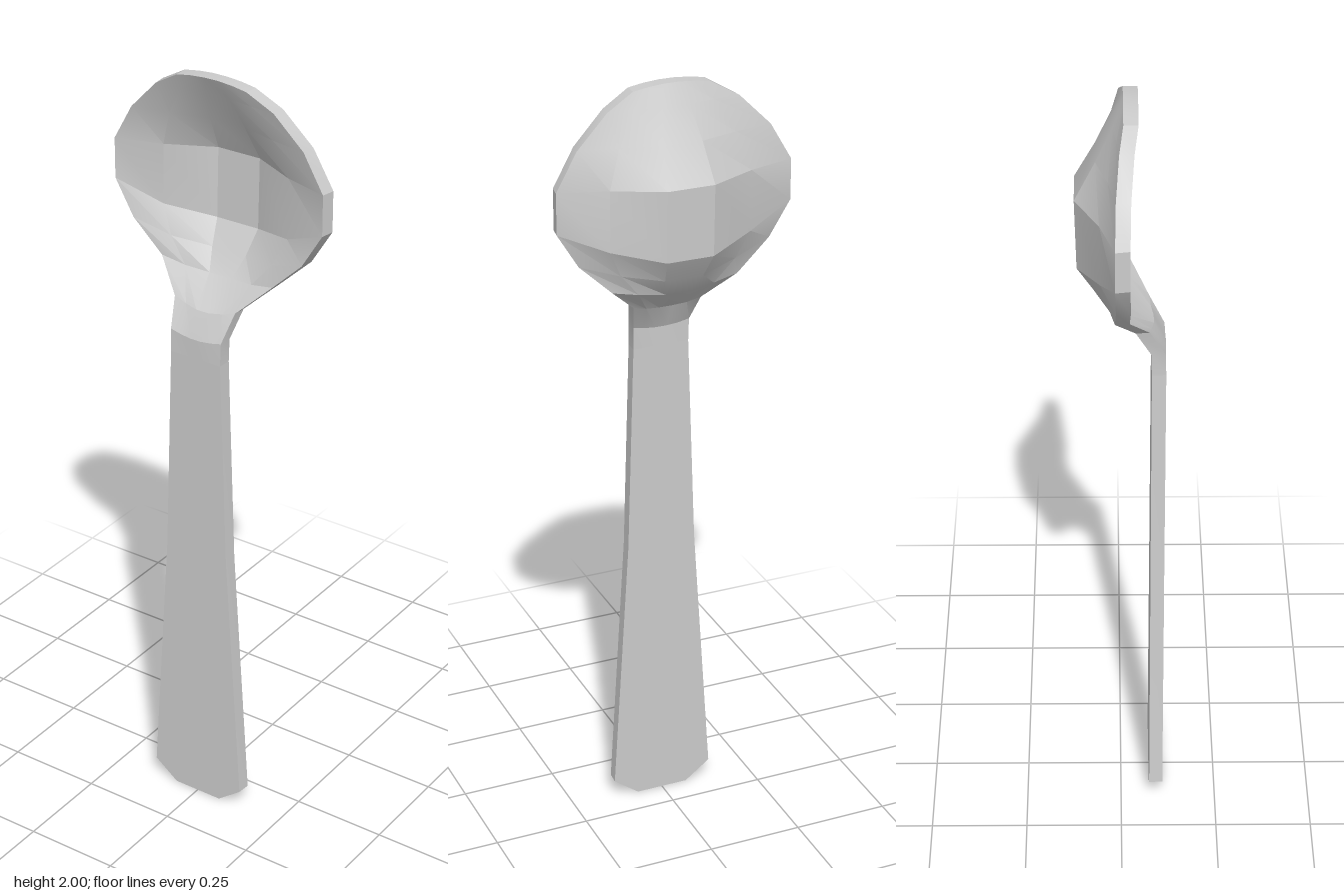
import * as THREE from 'three';
import { toCreasedNormals } from 'three/addons/utils/BufferGeometryUtils.js';

const THICK = 0.035;
// columns across the width, and how far each follows the hollow
const COLS = [-1, -0.6, -0.2, 0.2, 0.6, 1];
const HOLLOW = [0, 0.38, 1, 1, 0.38, 0];

// rows from top to bottom: centre y, edge y, half width, edge back z, centre back z
const bowlRows = [
  [2.0, 1.99, 0.1, 0.005, 0.005],
  [1.95, 1.95, 0.17, -0.005, -0.02],
  [1.87, 1.87, 0.25, -0.013, -0.06],
  [1.775, 1.775, 0.305, -0.015, -0.11],
  [1.59, 1.67, 0.305, -0.015, -0.105],
  [1.53, 1.58, 0.25, -0.013, -0.068],
  [1.48, 1.5, 0.165, -0.015, -0.032],
  [1.415, 1.43, 0.09, 0.035, 0.045],
  [1.35, 1.36, 0.075, 0.073, 0.075],
  [1.3, 1.3, 0.074, 0.075, 0.075],
];
const handleRows = [
  [1.3, 1.3, 0.074, 0.075, 0.075],
  [0.75, 0.75, 0.092, 0.075, 0.075],
  [0.05, 0.05, 0.137, 0.075, 0.075],
  [0, 0, 0.07, 0.075, 0.075],
];

// closed ring of points: along the back, then returning along the front
function ring([yc, ye, half, ze, zc], taper) {
  const side = (front) => COLS.map((u, j) => new THREE.Vector3(
    u * half * (front ? taper : 1),
    yc + (ye - yc) * u * u,
    ze + (zc - ze) * HOLLOW[j] + (front ? THICK : 0)
  ));
  return [...side(false), ...side(true).reverse()];
}

// skin the rings and close the chosen ends
function loft(name, rows, taper, capTop, capBottom, material) {
  const rings = rows.map((r) => ring(r, taper));
  const n = rings[0].length;
  const pos = [];
  const quad = (a, b, c, d) => [a, b, d, b, c, d].forEach((p) => pos.push(p.x, p.y, p.z));
  for (let i = 0; i < rings.length - 1; i++) {
    const p = rings[i], q = rings[i + 1];
    for (let j = 0; j < n; j++) {
      const k = (j + 1) % n;
      quad(p[j], p[k], q[k], q[j]);
    }
  }
  const t = rings[0], b = rings[rings.length - 1];
  for (let j = 0; j < COLS.length - 1; j++) {
    const f = n - 1 - j;
    if (capTop) quad(t[j], t[f], t[f - 1], t[j + 1]);
    if (capBottom) quad(b[j], b[j + 1], b[f - 1], b[f]);
  }
  const geo = new THREE.BufferGeometry();
  geo.setAttribute('position', new THREE.Float32BufferAttribute(pos, 3));
  const mesh = new THREE.Mesh(toCreasedNormals(geo, 0.3), material);
  mesh.name = name;
  return mesh;
}

export function createModel() {
  const group = new THREE.Group();
  group.name = 'spoon';
  const material = new THREE.MeshStandardMaterial({ color: 0xcccccc });
  // hollow bowl with the bent neck
  group.add(loft('bowl', bowlRows, 0.98, true, false, material));
  // flat handle widening to a clipped end
  group.add(loft('handle', handleRows, 0.98, false, true, material));
  return group;
}
